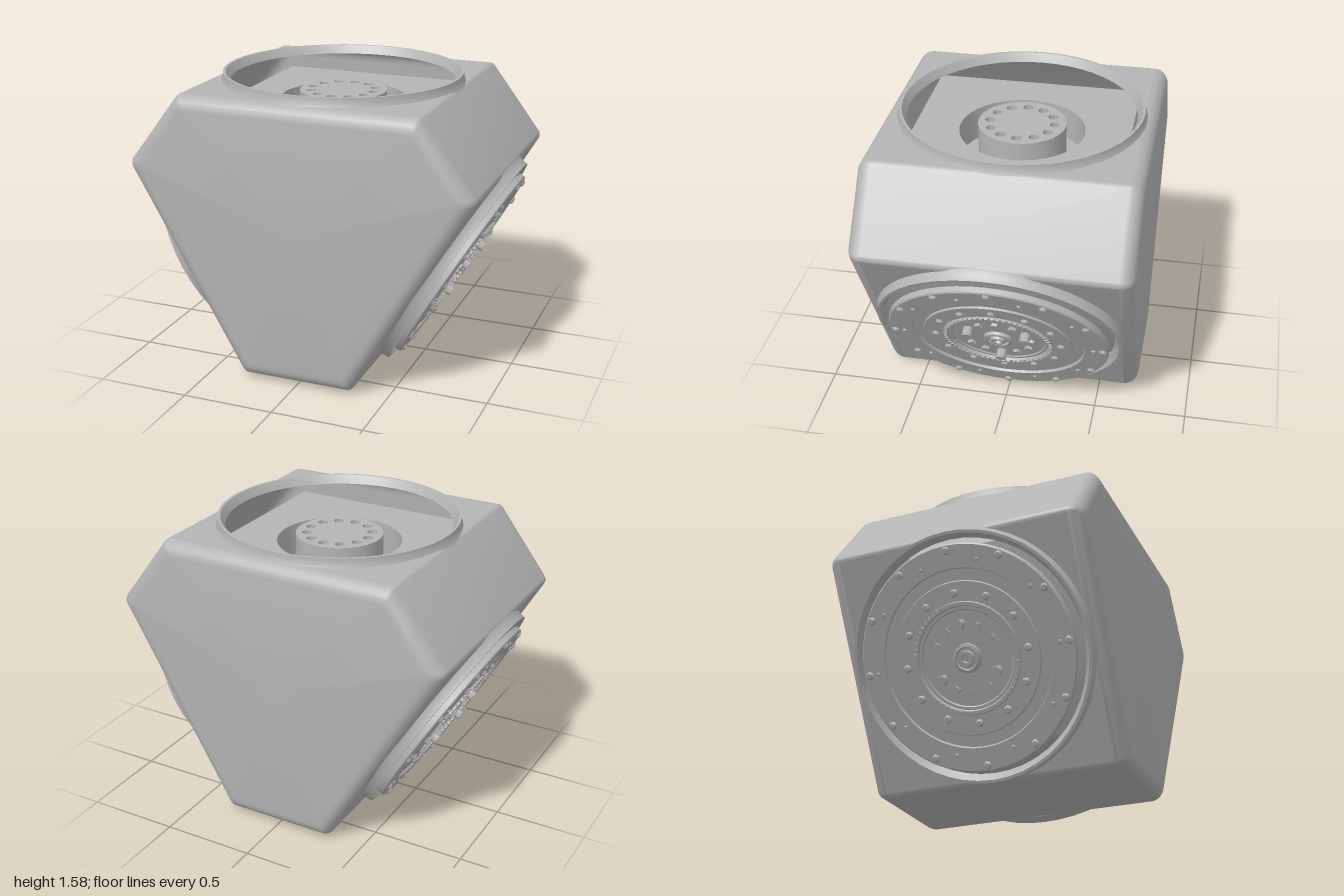
import * as THREE from 'three';
import { toCreasedNormals, mergeGeometries } from 'three/addons/utils/BufferGeometryUtils.js';

const grey = new THREE.MeshStandardMaterial({ color: 0xb4b4b4, side: THREE.DoubleSide });
grey.name = 'housing grey';

const V = (x, y) => new THREE.Vector2(x, y);

function add(parent, name, geometry, x = 0, y = 0, z = 0) {
  const mesh = new THREE.Mesh(geometry, grey);
  mesh.name = name;
  mesh.position.set(x, y, z);
  parent.add(mesh);
  return mesh;
}

const lathe = (points, seg = 48) =>
  toCreasedNormals(new THREE.LatheGeometry(points.map(p => V(p[0], p[1])), seg), 0.5);

// Outward normal of edge i of a counter-clockwise polygon
function edgeNormal(poly, i) {
  const a = poly[i], b = poly[(i + 1) % poly.length];
  return V(b.y - a.y, a.x - b.x).normalize();
}

// Polygon inset by d with rounded corners of radius R, N + 1 points a corner
const N = 6;
function roundedLoop(poly, d, R) {
  return poly.flatMap((c, i) => {
    const n1 = edgeNormal(poly, (i + poly.length - 1) % poly.length), n2 = edgeNormal(poly, i);
    const mid = c.clone().addScaledVector(n1.clone().add(n2), -(d + R) / (1 + n1.dot(n2)));
    const turn = Math.acos(n1.dot(n2));
    return Array.from({ length: N + 1 }, (_, k) =>
      n1.clone().rotateAround(V(0, 0), turn * k / N).multiplyScalar(R).add(mid));
  });
}

// Prism along z with rounded ends; edges listed in holes get a panel with a round opening
function prism(parent, name, poly, R, bevel, Z, holes) {
  const rings = [], steps = 5;
  for (let s = 0; s <= steps; s++) {
    const t = s / steps * Math.PI / 2;
    rings.push([bevel * (1 - Math.sin(t)), Z - bevel + bevel * Math.cos(t)]);
  }
  for (let s = steps; s >= 0; s--) rings.push([rings[s][0], -rings[s][1]]);

  const pos = [], idx = [], count = poly.length * (N + 1);
  for (const [d, z] of rings) for (const p of roundedLoop(poly, d, R)) pos.push(p.x, p.y, z);
  for (let k = 0; k < rings.length - 1; k++) {
    for (let j = 0; j < count; j++) {
      const edge = Math.floor(j / (N + 1));
      if (k === steps && j % (N + 1) === N && holes.some(h => h.edge === edge)) continue;
      const j2 = (j + 1) % count, o = k * count, q = o + count;
      idx.push(o + j, q + j, q + j2, o + j, q + j2, o + j2);
    }
  }
  // end caps
  const last = (rings.length - 1) * count, mid = pos.length / 3;
  pos.push(0, 0.85, Z, 0, 0.85, -Z);
  for (let j = 0; j < count; j++) {
    const j2 = (j + 1) % count;
    idx.push(mid, j, j2, mid + 1, last + j2, last + j);
  }
  const geo = new THREE.BufferGeometry();
  geo.setAttribute('position', new THREE.Float32BufferAttribute(pos, 3));
  geo.setIndex(idx);
  add(parent, name, toCreasedNormals(geo, 0.5));

  // flat panels with openings
  const loop = roundedLoop(poly, 0, R);
  for (const { edge, center, r } of holes) {
    const a = loop[edge * (N + 1) + N], b = loop[((edge + 1) * (N + 1)) % count];
    const n = edgeNormal(poly, edge), m = a.clone().add(b).multiplyScalar(0.5);
    const half = a.distanceTo(b) / 2, w = Z - bevel;
    const off = center.clone().sub(m).dot(V(n.y, -n.x));
    const shape = new THREE.Shape([V(-half, -w), V(half, -w), V(half, w), V(-half, w)]);
    shape.holes.push(new THREE.Path().absarc(off, 0, r, 0, Math.PI * 2, true));
    const panel = add(parent, name + 'Panel', new THREE.ShapeGeometry(shape, 24).rotateX(-Math.PI / 2), m.x, m.y, 0);
    panel.rotation.z = Math.atan2(-n.x, n.y);
  }
}

// Copies of a geometry round the local y axis, merged
function around(geo, n, r, y, keep = () => true) {
  const list = [];
  for (let i = 0; i < n; i++) {
    if (keep(i)) list.push(geo.clone().translate(r, y, 0).rotateY(i / n * Math.PI * 2));
  }
  return mergeGeometries(list);
}

// Raised lip round each opening
const lip = () => lathe([[0.665, -0.01], [0.652, 0.015], [0.65, 0.046], [0.635, 0.046],
  [0.622, 0.025], [0.608, 0]]);

// Bolted round plate fitted over the side openings
function plate(parent) {
  add(parent, 'plateDisc', lathe([
    [0.56, 0.04], [0.585, 0.045], [0.585, 0.074], [0.578, 0.08], [0.46, 0.08], [0.455, 0.066],
    [0.397, 0.066], [0.392, 0.076], [0.292, 0.076], [0.288, 0.082], [0.27, 0.082], [0.265, 0.07],
    [0.25, 0.07], [0.245, 0.064], [0, 0.064]]));
  const bolt = (r, h) => new THREE.CylinderGeometry(r * 0.6, r, h, 6);
  add(parent, 'outerBolts', around(bolt(0.024, 0.014), 12, 0.553, 0.086));
  add(parent, 'smallBolts', around(bolt(0.013, 0.01), 10, 0.505, 0.084).rotateY(Math.PI / 2));
  add(parent, 'innerBolts', around(bolt(0.024, 0.014), 12, 0.335, 0.082));
  add(parent, 'knurledRing', around(new THREE.BoxGeometry(0.016, 0.012, 0.018), 60, 0.28, 0.084));
  add(parent, 'squareStuds', around(new THREE.BoxGeometry(0.03, 0.02, 0.03), 12, 0.175, 0.07, i => i % 4));
  add(parent, 'driveLugs', around(new THREE.CylinderGeometry(0.028, 0.028, 0.055, 6), 3, 0.175, 0.086));
  add(parent, 'hub', lathe([[0.078, 0.06], [0.075, 0.08], [0.06, 0.084], [0.055, 0.072],
    [0.042, 0.072], [0.038, 0.09], [0.022, 0.09], [0.018, 0.075], [0, 0.075]], 20));
}

export function createModel() {
  const model = new THREE.Group();
  model.name = 'threeWayHousing';

  // Outer shell
  const outer = [V(-0.306, 0.02), V(0.306, 0.02), V(0.955, 1.142), V(0.655, 1.535), V(-0.655, 1.535), V(-0.955, 1.142)];
  const ports = [
    { edge: 1, center: V(0.636, 0.5875), r: 0.61 },
    { edge: 3, center: V(0, 1.535), r: 0.61 },
    { edge: 5, center: V(-0.636, 0.5875), r: 0.61 }];
  prism(model, 'shell', outer, 0.035, 0.075, 0.717, ports);

  // Inner core seen through the openings
  const core = [V(-0.3, 0.228), V(0.3, 0.228), V(0.825, 1.13), V(0.56, 1.43), V(-0.56, 1.43), V(-0.825, 1.13)];
  prism(model, 'core', core, 0.008, 0.008, 0.58, [{ edge: 3, center: V(0, 1.43), r: 0.337 }]);

  // Lips and side plates
  for (const { edge, center } of ports) {
    const n = edgeNormal(outer, edge);
    const port = new THREE.Group();
    port.name = ['', 'leftPort', '', 'topPort', '', 'rightPort'][edge];
    port.position.set(center.x, center.y, 0);
    port.rotation.z = Math.atan2(-n.x, n.y);
    add(port, 'lip', lip());
    if (edge !== 3) plate(port);
    model.add(port);
  }

  // Pit and drilled drum in the top opening
  add(model, 'pit', lathe([[0.337, 0], [0.337, -0.18], [0, -0.18]]), 0, 1.43, 0);
  const disc = new THREE.Shape().absarc(0, 0, 0.236, 0, Math.PI * 2);
  for (let i = 0; i < 12; i++) {
    const a = i / 12 * Math.PI * 2;
    disc.holes.push(new THREE.Path().absarc(0.175 * Math.cos(a), 0.175 * Math.sin(a), 0.027, 0, Math.PI * 2, true));
  }
  const drum = new THREE.ExtrudeGeometry(disc, { depth: 0.22, bevelEnabled: false, curveSegments: 20 });
  add(model, 'drum', toCreasedNormals(drum.rotateX(-Math.PI / 2), 0.5), 0, 1.25, 0);

  return model;
}
